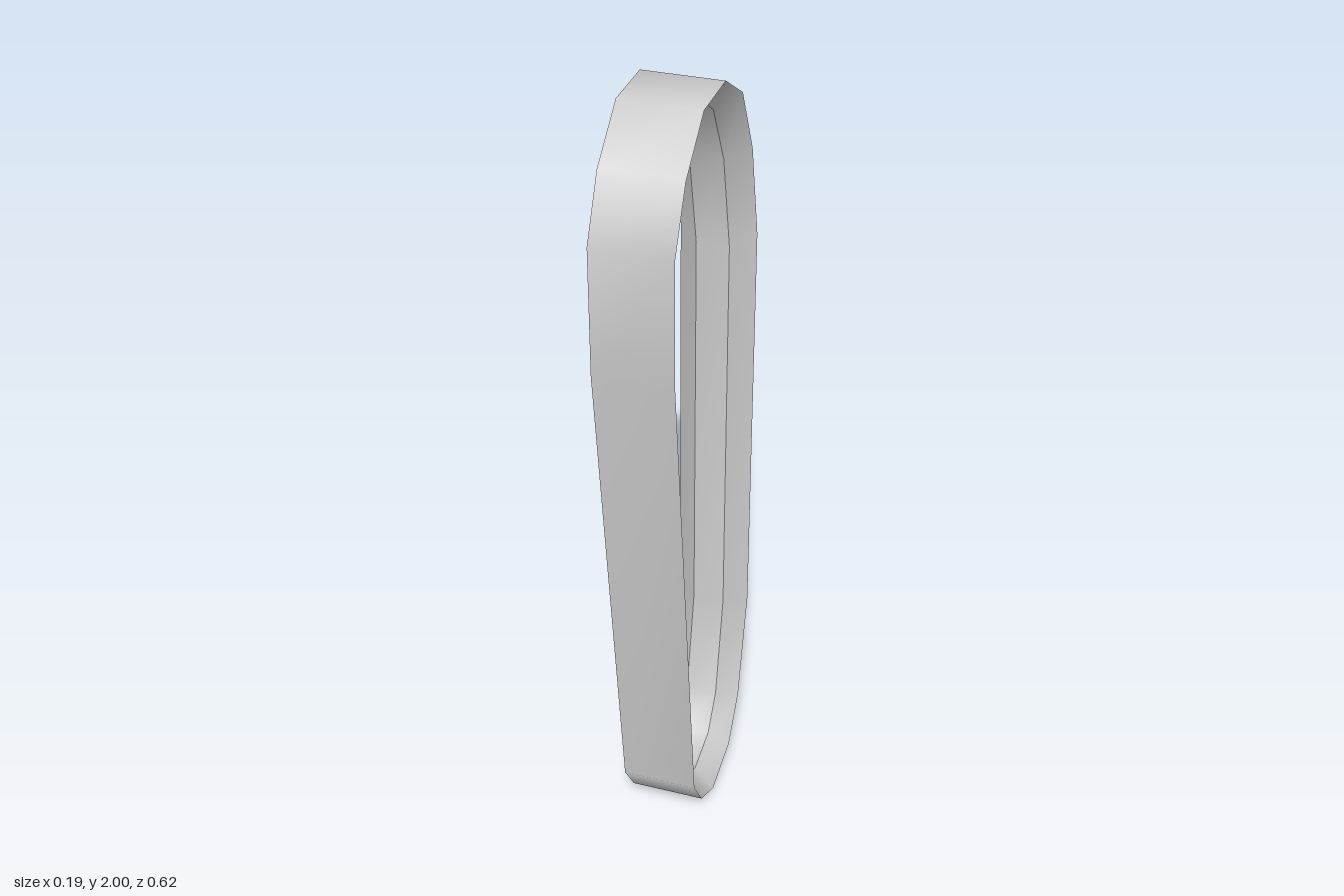
import * as THREE from 'three';

// Outline of the loop as [z, y], starting at the top and running over the back
const OUTER = [
  [0.12, 2], [-0.03, 2], [-0.16, 1.92], [-0.25, 1.75], [-0.31, 1.505], [-0.31, 0.42], [-0.24, 0.14],
  [-0.16, 0.03], [-0.015, 0], [0.09, 0.06], [0.155, 0.16], [0.31, 1.455], [0.31, 1.76], [0.24, 1.9],
];
const INNER = [
  [0.11, 1.95], [-0.022, 1.955], [-0.12, 1.89], [-0.205, 1.735], [-0.262, 1.487], [-0.262, 0.435], [-0.205, 0.16],
  [-0.14, 0.072], [-0.025, 0.05], [0.055, 0.087], [0.11, 0.17], [0.264, 1.475], [0.264, 1.75], [0.205, 1.875],
];
const HALF_OUTER = 0.093; // half width of the outside face
const HALF_INNER = 0.04;  // half width of the inside face

// Closed strip between two rails; normals are smooth along the loop
function strip(name, material, [railA, xA], [railB, xB]) {
  const n = railA.length, positions = [], index = [];
  for (let i = 0; i < n; i++) {
    positions.push(xA, railA[i][1], railA[i][0], xB, railB[i][1], railB[i][0]);
    const a = 2 * i, b = a + 1, c = 2 * ((i + 1) % n), d = c + 1;
    index.push(a, b, d, a, d, c);
  }
  const geometry = new THREE.BufferGeometry();
  geometry.setAttribute('position', new THREE.Float32BufferAttribute(positions, 3));
  geometry.setIndex(index);
  geometry.computeVertexNormals();
  const mesh = new THREE.Mesh(geometry, material);
  mesh.name = name;
  return mesh;
}

export function createModel() {
  const group = new THREE.Group();
  group.name = 'band';
  const material = new THREE.MeshStandardMaterial({ color: 0xcccccc });

  // Trapezoid section: wide outside, two bevels, narrow inside
  const section = [[OUTER, -HALF_OUTER], [OUTER, HALF_OUTER], [INNER, HALF_INNER], [INNER, -HALF_INNER]];
  const names = ['outerFace', 'leftBevel', 'innerFace', 'rightBevel'];
  names.forEach((name, i) => group.add(strip(name, material, section[i], section[(i + 1) % 4])));
  return group;
}
